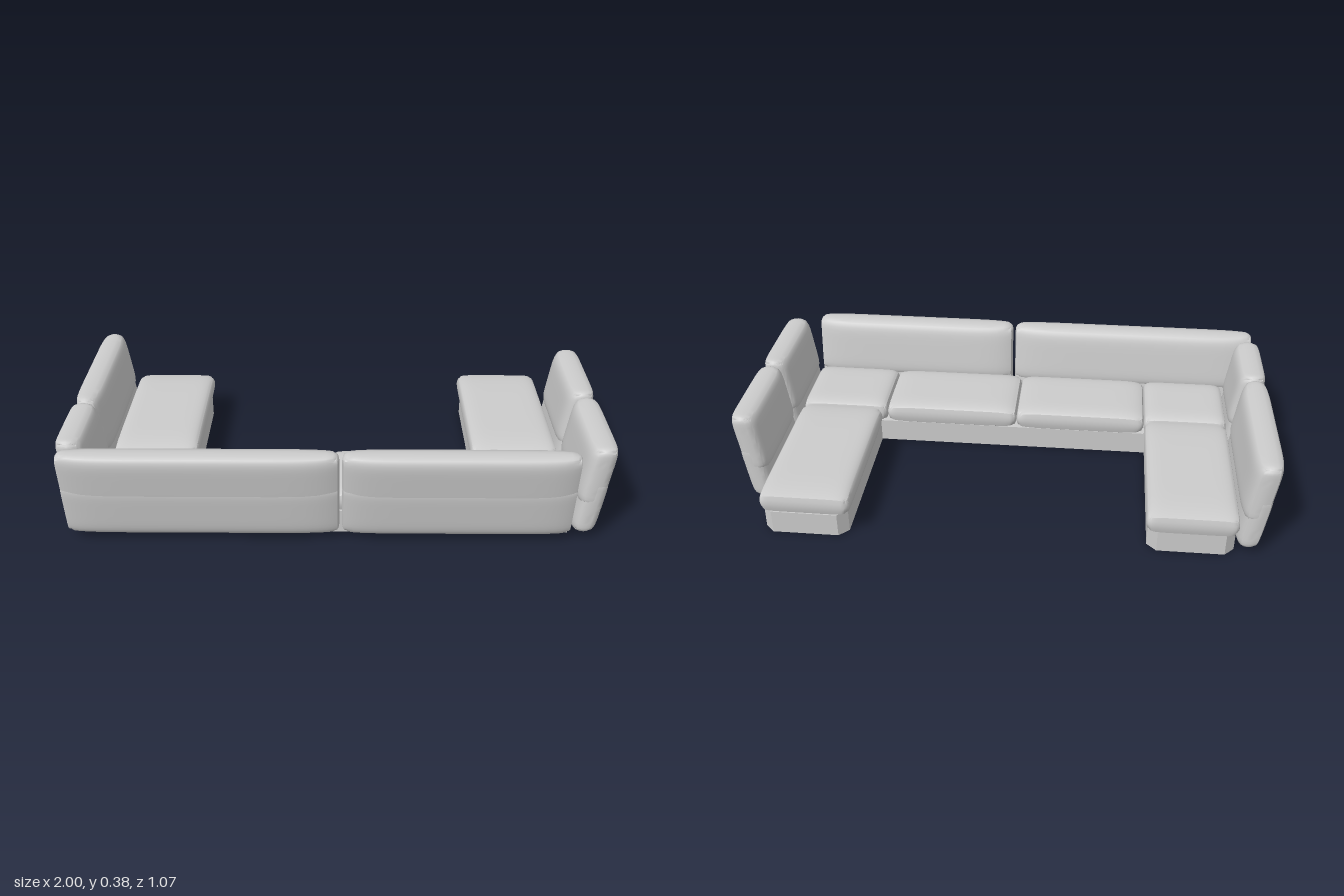
import * as THREE from 'three';
import { mergeVertices, toCreasedNormals } from 'three/addons/utils/BufferGeometryUtils.js';

const material = new THREE.MeshStandardMaterial({ color: 0xcccccc });

// Padded slab: w by h in plan with rounded corners, t thick along z,
// thinning towards its edges; lean shears z with height.
function pillow(w, h, t, { corner = 0.03, thinU = 0.25, thinV = 0.25, lean = 0 } = {}) {
  let geo = new THREE.BoxGeometry(2, 2, 2, 22, 18, 4);
  geo.deleteAttribute('uv');
  geo.deleteAttribute('normal');
  const pos = geo.attributes.position;
  const cluster = (s) => Math.sin((s * Math.PI) / 2);
  for (let i = 0; i < pos.count; i++) {
    const u = cluster(pos.getX(i));
    const v = cluster(pos.getY(i));
    let x = (u * w) / 2;
    let y = (v * h) / 2;
    // round the plan corners
    const qx = THREE.MathUtils.clamp(x, -w / 2 + corner, w / 2 - corner);
    const qy = THREE.MathUtils.clamp(y, -h / 2 + corner, h / 2 - corner);
    const dx = x - qx, dy = y - qy;
    if (dx && dy) {
      const k = Math.max(Math.abs(dx), Math.abs(dy)) / Math.hypot(dx, dy);
      x = qx + dx * k;
      y = qy + dy * k;
    }
    const thickness = (1 - thinU * Math.abs(u) ** 8) * (1 - thinV * Math.abs(v) ** 6);
    // slight pull-in of the rim so the edge band is soft
    const zn = pos.getZ(i);
    const rim = 0.006 * zn * zn;
    x -= Math.sign(u) * rim * Math.abs(u) ** 8;
    y -= Math.sign(v) * rim * Math.abs(v) ** 8;
    pos.setXYZ(i, x, y, (zn * thickness * t) / 2 + lean * y);
  }
  geo = mergeVertices(geo, 1e-5);
  return toCreasedNormals(geo, 0.6);
}

function add(parent, name, geometry) {
  const mesh = new THREE.Mesh(geometry, material);
  mesh.name = name;
  parent.add(mesh);
  return mesh;
}

// Low plinth: a U-shaped plan with clipped corners at the open ends
function makeBase() {
  const c = 0.035;
  const plan = [
    [-0.865, 0.42], [0.86, 0.42],
    [0.86, -0.525 + c], [0.86 - c, -0.525], [0.545 + c, -0.525], [0.545, -0.525 + c],
    [0.545, 0.125], [-0.55, 0.125],
    [-0.55, -0.5 + c], [-0.55 - c, -0.5], [-0.865 + c, -0.5], [-0.865, -0.5 + c],
  ];
  const shape = new THREE.Shape(plan.map(([x, z]) => new THREE.Vector2(x, -z)));
  const geo = new THREE.ExtrudeGeometry(shape, { depth: 0.092, bevelEnabled: false });
  return geo.rotateX(-Math.PI / 2);
}

// Seat cushion filling the plan rectangle x0..x1, z0..z1
function addSeat(parent, name, x0, x1, z0, z1) {
  const geo = pillow(x1 - x0, z1 - z0, 0.094, { corner: 0.025, thinU: 0.3, thinV: 0.3 });
  geo.rotateX(-Math.PI / 2);
  add(parent, name, geo).position.set((x0 + x1) / 2, 0.132, (z0 + z1) / 2);
}

// Backrest section: a lower bolster and an upper pillow, both leaning outwards.
// It is modelled facing +z and turned so that its outside faces the given angle.
function addBack(parent, name, length, x, z, angle) {
  const back = new THREE.Group();
  back.name = name;
  const style = { corner: 0.025, thinU: 0.4, thinV: 0.3, lean: 0.15 };
  add(back, 'lowerBackPad', pillow(length, 0.227, 0.1, style)).position.set(0, 0.141, -0.013);
  add(back, 'upperBackPad', pillow(length, 0.235, 0.108, style)).position.set(0, 0.265, 0);
  back.position.set(x, 0, z);
  back.rotation.y = angle;
  parent.add(back);
}

export function createModel() {
  const sofa = new THREE.Group();
  sofa.name = 'sectionalSofa';

  add(sofa, 'base', makeBase());

  // Seats: the long row, then one chaise on each side
  const row = [-0.87, -0.54, -0.02, 0.515, 0.865];
  for (let i = 0; i < 4; i++) addSeat(sofa, 'rowSeat', row[i], row[i + 1], 0.11, 0.43);
  addSeat(sofa, 'rightChaiseSeat', -0.87, -0.54, -0.525, 0.11);
  addSeat(sofa, 'leftChaiseSeat', 0.53, 0.865, -0.535, 0.11);

  // Backrests: [name, start, end] along each side
  for (const [a, b] of [[-0.98, 0.015], [0.025, 0.862]])
    addBack(sofa, 'rowBack', b - a, (a + b) / 2, 0.472, 0);
  for (const [a, b] of [[-0.36, 0.048], [0.06, 0.468]])
    addBack(sofa, 'leftBack', b - a, 0.938, (a + b) / 2, Math.PI / 2);
  for (const [a, b] of [[-0.5, 0.115], [0.115, 0.43]])
    addBack(sofa, 'rightBack', b - a, -0.938, (a + b) / 2, -Math.PI / 2);

  return sofa;
}
